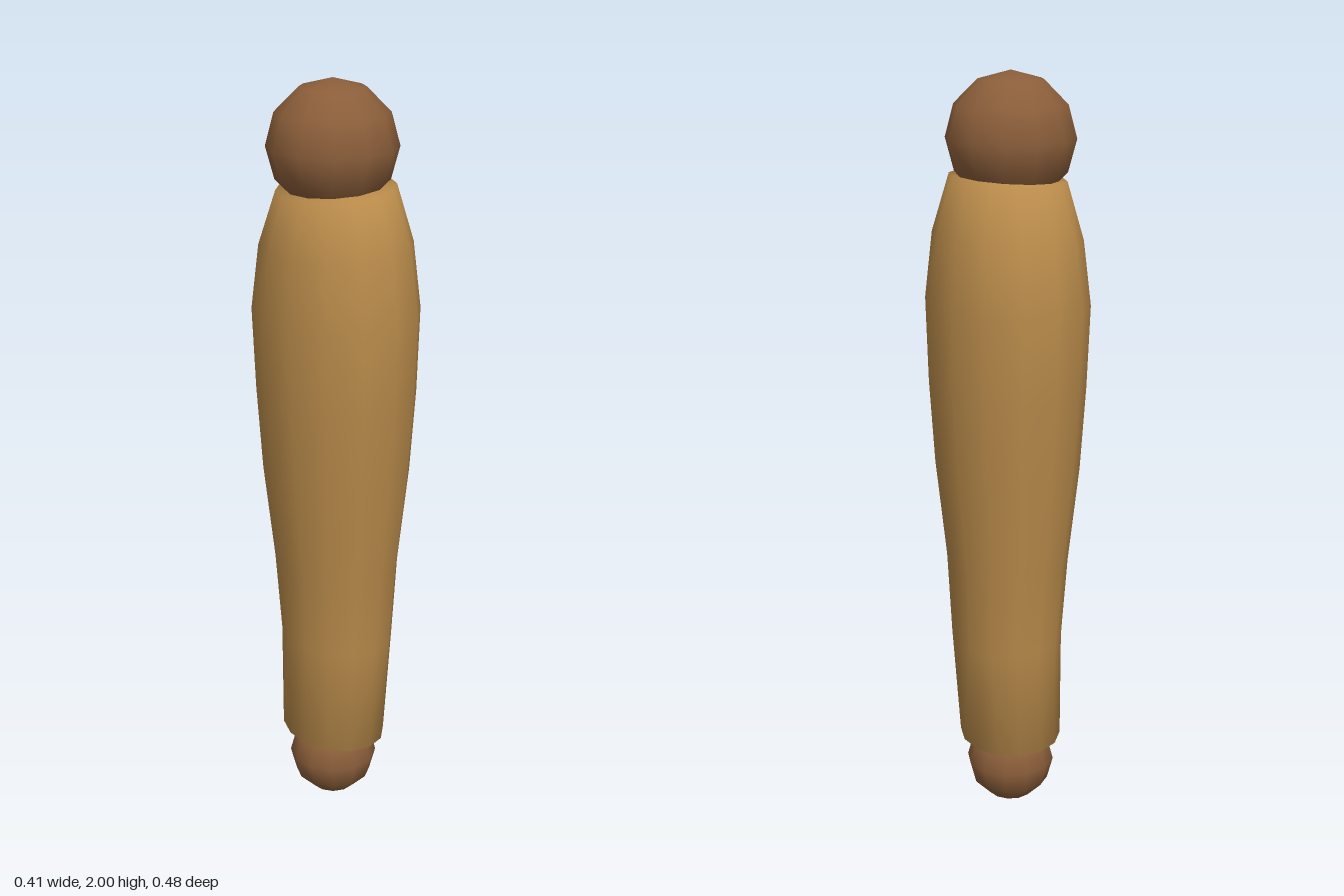
import * as THREE from 'three';

const SIDES = 14;
const PHASE = 0.05;

// Rings of the limb: [y, centre x, centre z, half width x, half depth z, tilt]
const RINGS = [
  [0.203, -0.008, 0, 0.133, 0.158, -0.05],
  [0.5, 0.003, 0, 0.145, 0.164, -0.03],
  [0.72, 0.001, 0, 0.157, 0.186, -0.02],
  [0.98, 0.001, 0, 0.186, 0.213, 0],
  [1.2, 0.001, 0, 0.199, 0.233, 0],
  [1.42, 0, 0, 0.206, 0.243, 0.02],
  [1.59, 0, 0, 0.187, 0.219, 0.04],
  [1.735, -0.008, 0.015, 0.148, 0.158, 0.067],
];

// Lofted tube through the elliptical rings, closed at both ends
function loft(rings) {
  const pos = [], index = [];
  for (const [y, cx, cz, rx, rz, tilt] of rings) {
    for (let i = 0; i < SIDES; i++) {
      const a = (i / SIDES) * Math.PI * 2 + PHASE;
      const dx = Math.cos(a) * rx;
      pos.push(cx + dx, y + dx * tilt, cz + Math.sin(a) * rz);
    }
  }
  for (let r = 0; r < rings.length - 1; r++) {
    for (let i = 0; i < SIDES; i++) {
      const j = (i + 1) % SIDES;
      const a = r * SIDES + i, b = r * SIDES + j;
      index.push(a, a + SIDES, b, b, a + SIDES, b + SIDES);
    }
  }
  // End caps share the rim vertices, so shading rolls softly over the ends
  const last = (rings.length - 1) * SIDES;
  const bottom = pos.length / 3, top = bottom + 1;
  for (const [y, cx, cz] of [rings[0], rings[rings.length - 1]]) pos.push(cx, y, cz);
  for (let i = 0; i < SIDES; i++) {
    const j = (i + 1) % SIDES;
    index.push(bottom, i, j, top, last + j, last + i);
  }
  const geo = new THREE.BufferGeometry();
  geo.setAttribute('position', new THREE.Float32BufferAttribute(pos, 3));
  geo.setIndex(index);
  geo.computeVertexNormals();
  return geo;
}

export function createModel() {
  const group = new THREE.Group();
  const limbMaterial = new THREE.MeshStandardMaterial({ color: 0xb88a4a });
  const jointMaterial = new THREE.MeshStandardMaterial({ color: 0x8b5e3a });

  const add = (name, geometry, material, x = 0, y = 0) => {
    const mesh = new THREE.Mesh(geometry, material);
    mesh.name = name;
    mesh.position.set(x, y, 0);
    group.add(mesh);
  };

  // Tapered limb with a ball joint at each end
  add('limb', loft(RINGS), limbMaterial);
  add('upperJoint', new THREE.SphereGeometry(0.166, 12, 6), jointMaterial, -0.009, 1.834);
  add('lowerJoint', new THREE.SphereGeometry(0.119, 12, 6), jointMaterial, -0.009, 0.122);

  return group;
}
